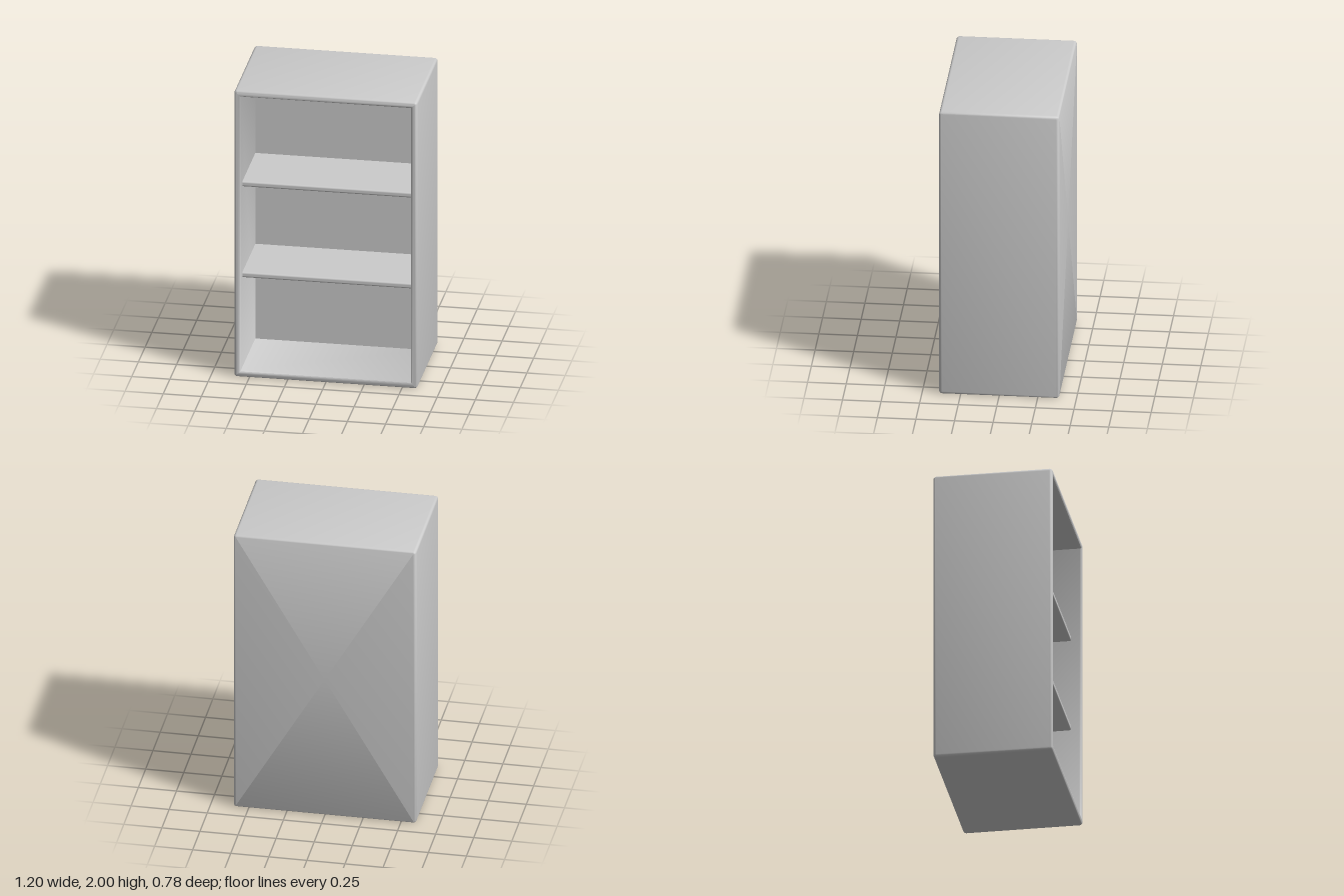
import * as THREE from 'three';
import { toCreasedNormals } from 'three/addons/utils/BufferGeometryUtils.js';
import { RoundedBoxGeometry } from 'three/addons/geometries/RoundedBoxGeometry.js';

const W = 1.2, H = 2, D = 0.78;       // outer size
const WALL = 0.043, ROUND = 0.02;     // wall thickness and edge rounding
const BACK = -0.165;                  // z of the inner back wall
const STEPS = 4;                      // segments per rounded edge

// Rounded rectangle in the x-y plane, counter-clockwise seen from the front
function ring(inset, z) {
  const r = Math.max(ROUND - inset, 0.001);
  const cx = W / 2 - inset - r, cy = H / 2 - inset - r;
  const points = [];
  [[1, 1], [-1, 1], [-1, -1], [1, -1]].forEach(([sx, sy], corner) => {
    for (let i = 0; i <= STEPS; i++) {
      const a = (corner + i / STEPS) * Math.PI / 2;
      points.push([sx * cx + r * Math.cos(a), H / 2 + sy * cy + r * Math.sin(a), z]);
    }
  });
  return points;
}

// Case as one skin: back face, rounded outside, front rim, hollow inside
function caseGeometry() {
  const rings = [];
  const arc = (fn) => {
    for (let i = 0; i <= STEPS; i++) {
      const a = i / STEPS * Math.PI / 2;
      rings.push(ring(...fn(Math.sin(a), Math.cos(a))));
    }
  };
  const inner = 0.015;
  arc((s, c) => [ROUND * (1 - s), -D / 2 + ROUND * (1 - c)]);              // back edge
  arc((s, c) => [ROUND * (1 - c), D / 2 - ROUND * (1 - s)]);               // front outer edge
  arc((s, c) => [WALL - inner * (1 - s), D / 2 - inner * (1 - c)]);        // front inner edge
  rings.push(ring(WALL, BACK));

  const n = rings[0].length, last = (rings.length - 1) * n;
  const positions = [...rings.flat(), [0, H / 2, -D / 2], [0, H / 2, BACK]].flat();
  const backCentre = rings.length * n, innerCentre = backCentre + 1;
  const index = [];
  for (let j = 0; j < n; j++) {
    const k = (j + 1) % n;
    for (let i = 0; i < last; i += n) {
      index.push(i + j, i + k, i + n + k, i + j, i + n + k, i + n + j);
    }
    index.push(backCentre, k, j, innerCentre, last + j, last + k);
  }
  const geometry = new THREE.BufferGeometry();
  geometry.setAttribute('position', new THREE.Float32BufferAttribute(positions, 3));
  geometry.setIndex(index);
  return toCreasedNormals(geometry, Math.PI / 5);
}

export function createModel() {
  const group = new THREE.Group();
  group.name = 'bookcase';
  const material = new THREE.MeshStandardMaterial({ color: 0xcccccc });

  const body = new THREE.Mesh(caseGeometry(), material);
  body.name = 'case';
  group.add(body);

  // Two shelves, set back from the rim and let into the side and back walls
  const front = 0.32, rear = BACK - 0.02, thickness = 0.037;
  const shelfGeometry = new RoundedBoxGeometry(W - 2 * WALL + 0.04, thickness, front - rear, 3, 0.012);
  [['lowerShelf', 0.705], ['upperShelf', 1.34]].forEach(([name, top]) => {
    const shelf = new THREE.Mesh(shelfGeometry, material);
    shelf.name = name;
    shelf.position.set(0, top - thickness / 2, (front + rear) / 2);
    group.add(shelf);
  });
  return group;
}
